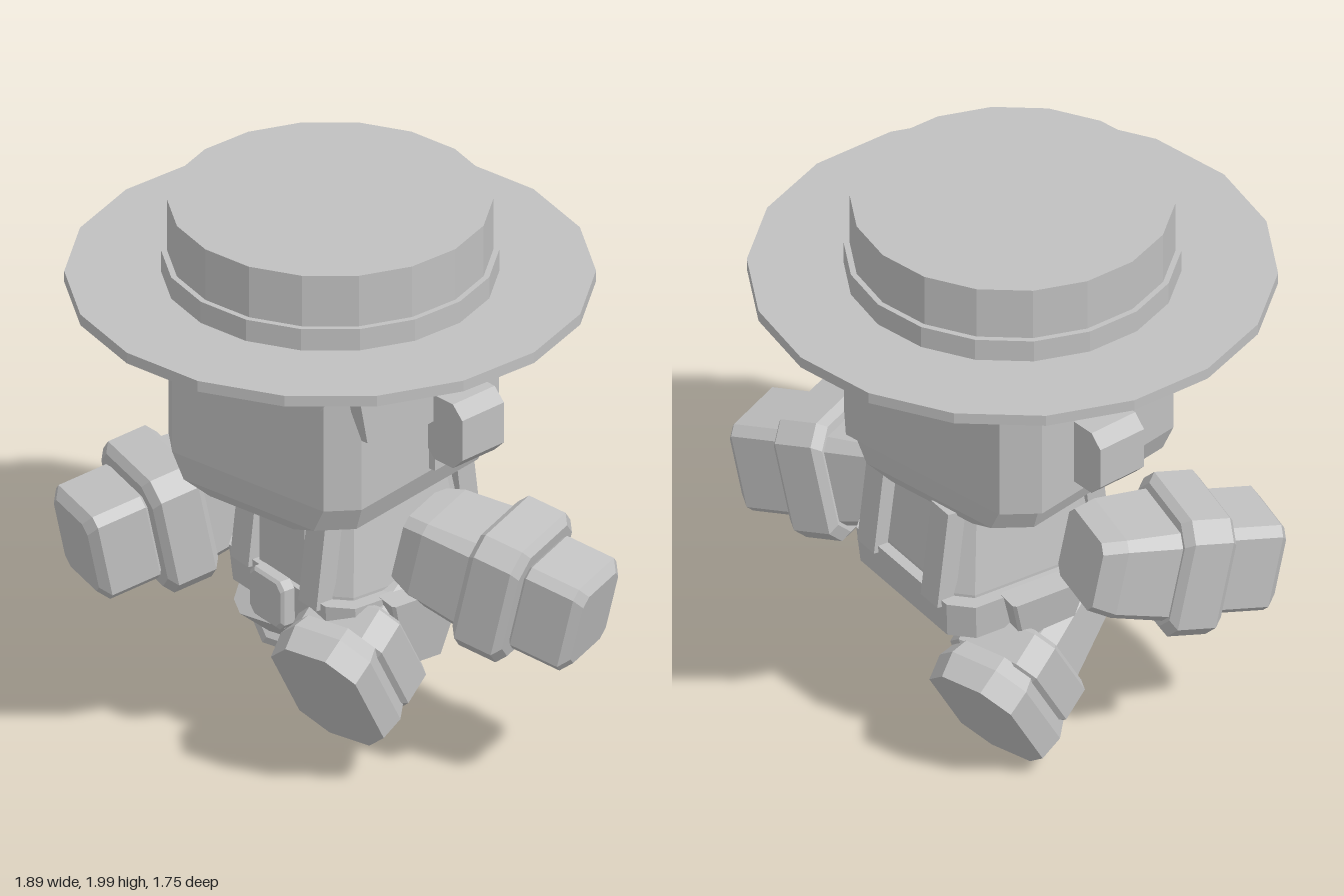
import * as THREE from 'three';

const grey = new THREE.MeshStandardMaterial({ color: 0xc0c0c0, flatShading: true });
grey.name = 'plain grey';

// Stack of chamfered rectangles along y; each ring is [y, halfWidth, halfDepth, chamfer]
function stack(rings) {
  const pos = [], index = [];
  for (const [y, w, d, c] of rings) {
    const a = w - c, b = d - c;
    for (const [x, z] of [[w, b], [w, -b], [a, -d], [-a, -d], [-w, -b], [-w, b], [-a, d], [a, d]]) pos.push(x, y, z);
  }
  const top = (rings.length - 1) * 8;
  for (let r = 0; r < top; r += 8) {
    for (let i = 0; i < 8; i++) {
      const j = (i + 1) % 8;
      index.push(r + i, r + j, r + 8 + j, r + i, r + 8 + j, r + 8 + i);
    }
  }
  for (let i = 1; i < 7; i++) index.push(0, i + 1, i, top, top + i, top + i + 1);
  const g = new THREE.BufferGeometry();
  g.setAttribute('position', new THREE.Float32BufferAttribute(pos, 3));
  g.setIndex(index);
  const flat = g.toNonIndexed();
  flat.computeVertexNormals();
  return flat;
}

// Chamfered block from y0 to y1 with bevelled ends
function block(y0, y1, w, d, c, b) {
  return stack([[y0, w - b, d - b, c], [y0 + b, w, d, c], [y1 - b, w, d, c], [y1, w - b, d - b, c]]);
}

function add(parent, name, geometry, x = 0, y = 0, z = 0) {
  const mesh = new THREE.Mesh(geometry, grey);
  mesh.name = name;
  mesh.position.set(x, y, z);
  parent.add(mesh);
  return mesh;
}

function group(parent, name, x = 0, y = 0, z = 0) {
  const g = new THREE.Group();
  g.name = name;
  g.position.set(x, y, z);
  parent.add(g);
  return g;
}

function plate(points, depth) {
  const shape = new THREE.Shape(points.map(([x, y]) => new THREE.Vector2(x, y)));
  return new THREE.ExtrudeGeometry(shape, { depth, bevelEnabled: false });
}

function buildHat(root) {
  const hat = group(root, 'hat', -0.055, 0, 0);
  hat.rotation.y = 0.085;
  for (const [name, r, y0, y1] of [['brim', 0.88, 1.69, 1.73], ['hatBand', 0.56, 1.73, 1.81], ['crown', 0.54, 1.81, 2]]) {
    add(hat, name, new THREE.CylinderGeometry(r, r, y1 - y0, 18), 0, (y0 + y1) / 2, 0);
  }
}

function buildHead(root) {
  const head = group(root, 'head', -0.06, 0, 0);
  head.rotation.y = -0.087;
  add(head, 'face', stack([[0.985, 0.3, 0.4, 0.12], [1.02, 0.38, 0.415, 0.1], [1.11, 0.415, 0.42, 0.09], [1.7, 0.415, 0.42, 0.09]]));
  // hair: top band, back shell, side panels and scalloped fringe
  add(head, 'hairBand', stack([[1.57, 0.445, 0.45, 0.1], [1.7, 0.445, 0.45, 0.1]]));
  add(head, 'backHair', stack([[1.12, 0.445, 0.215, 0.1], [1.7, 0.445, 0.215, 0.1]]), 0, 0, -0.23);
  const side = plate([[0.38, 1.7], [0.37, 1.55], [0.33, 1.37], [0.2, 1.31], [-0.02, 1.31], [-0.02, 1.12], [-0.34, 1.12], [-0.34, 1.7]], 0.05);
  side.rotateY(-Math.PI / 2);
  for (const s of [-1, 1]) add(head, 'sideHair', side, s > 0 ? 0.44 : -0.39, 0, 0);
  const fringe = [[-0.38, 1.65]];
  for (let i = 0; i < 3; i++) {
    const x = -0.36 + i * 0.24;
    fringe.push([x, 1.56], [x + 0.04, 1.49], [x + 0.12, i === 1 ? 1.44 : 1.46], [x + 0.2, 1.49]);
  }
  fringe.push([0.36, 1.56], [0.36, 1.65]);
  add(head, 'fringe', plate(fringe, 0.012), 0, 0, 0.42);
  // octagonal ears
  for (const s of [-1, 1]) {
    const g = stack([[-0.095, 0.09, 0.12, 0.045], [0.095, 0.09, 0.12, 0.045]]);
    g.rotateX(Math.PI / 2);
    add(head, s > 0 ? 'leftEar' : 'rightEar', g, s * 0.5, 1.29, -0.1).rotation.y = -0.12;
  }
}

function buildTorso(root) {
  const torso = group(root, 'torso', 0, 0, -0.08);
  torso.rotation.y = -0.33;
  add(torso, 'trunk', stack([[0.56, 0.29, 0.29, 0.06], [0.68, 0.29, 0.29, 0.06], [0.99, 0.24, 0.25, 0.06]]));
  add(torso, 'neck', stack([[0.95, 0.2, 0.2, 0.06], [1.02, 0.24, 0.24, 0.06]]));
  add(torso, 'belt', stack([[0.54, 0.33, 0.32, 0.07], [0.67, 0.34, 0.33, 0.07]]));
  add(torso, 'shirtFront', new THREE.BoxGeometry(0.25, 0.32, 0.04), 0, 0.82, 0.29);
  const buckle = block(-0.03, 0.03, 0.095, 0.09, 0.025, 0.01);
  buckle.rotateX(Math.PI / 2);
  add(torso, 'buckle', buckle, 0, 0.6, 0.35);
  // leaning straps, front and back
  for (const sx of [-1, 1]) {
    for (const sz of [-1, 1]) {
      const strap = add(torso, 'strap', new THREE.BoxGeometry(0.1, 0.36, 0.07), sx * 0.19, 0.82, sz * 0.29);
      strap.rotation.x = -sz * 0.12;
    }
    // flap hanging from the belt at each hip
    const flap = add(torso, 'hipFlap', stack([[-0.26, 0.03, 0.08, 0.01], [0, 0.045, 0.15, 0.01]]), sx * 0.36, 0.67, 0);
    flap.rotation.z = -sx * 0.08;
  }
}

// Arm built along local z, pointing from the shoulder towards the hand
function buildArm(root, name, hand, dir) {
  const arm = group(root, name, ...hand);
  arm.lookAt(new THREE.Vector3(...hand).add(new THREE.Vector3(...dir)));
  const parts = [
    ['hand', block(-0.12, 0.12, 0.155, 0.165, 0.03, 0.03)],
    ['cuff', block(-0.29, -0.1, 0.215, 0.225, 0.06, 0.025)],
    ['sleeve', stack([[-0.56, 0.14, 0.13, 0.03], [-0.48, 0.165, 0.15, 0.03], [-0.24, 0.185, 0.175, 0.04]])],
  ];
  for (const [part, g] of parts) {
    g.rotateX(Math.PI / 2);
    add(arm, part, g);
  }
}

// Leg built upward from the sole, then tipped about x
function buildLeg(root, name, x, y, z, tilt) {
  const leg = group(root, name, x, y, z);
  leg.rotation.x = tilt;
  add(leg, 'shoe', stack([[0, 0.17, 0.25, 0.09], [0.09, 0.18, 0.26, 0.09], [0.15, 0.16, 0.24, 0.08]]));
  add(leg, 'trouserCuff', block(0.13, 0.29, 0.18, 0.21, 0.06, 0.02), 0, 0, -0.01);
  add(leg, 'shin', stack([[0.26, 0.15, 0.16, 0.05], [0.52, 0.13, 0.13, 0.04]]));
}

export function createModel() {
  const root = new THREE.Group();
  root.name = 'hattedFigure';
  buildHat(root);
  buildHead(root);
  buildTorso(root);
  buildArm(root, 'leftArm', [0.8, 0.69, -0.12], [0.96, -0.22, -0.12]);
  buildArm(root, 'rightArm', [-0.72, 0.69, 0.33], [-0.47, -0.2, 0.86]);
  buildLeg(root, 'leftLeg', 0.18, 0.355, 0.355, -1.03);
  buildLeg(root, 'rightLeg', -0.26, 0.22, -0.41, 1.0);
  return root;
}
